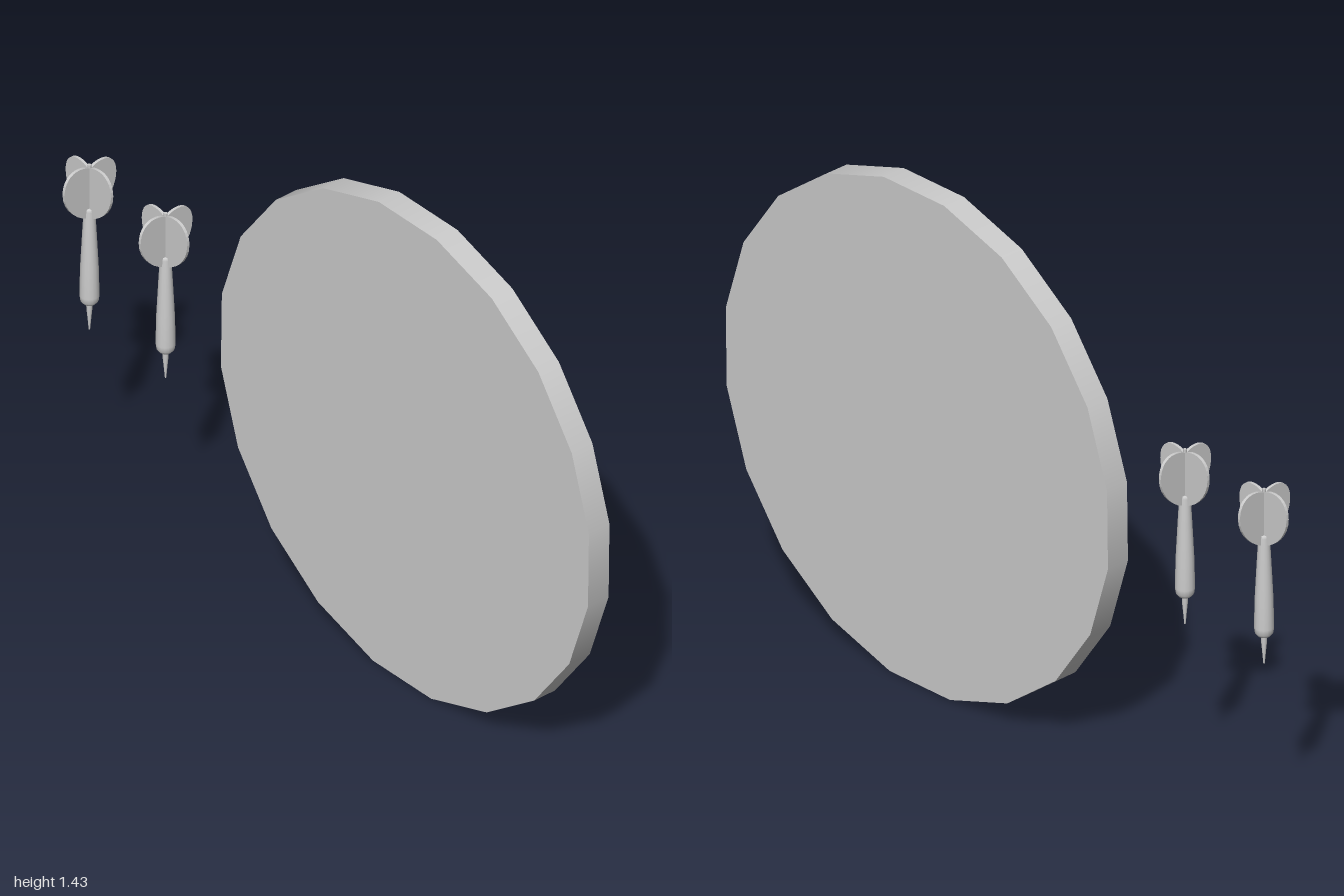
import * as THREE from 'three';

const material = new THREE.MeshStandardMaterial({ color: 0xcccccc });

function part(name, geometry) {
  const mesh = new THREE.Mesh(geometry, material);
  mesh.name = name;
  return mesh;
}

function lathe(points, sides) {
  return new THREE.LatheGeometry(points.map(([r, y]) => new THREE.Vector2(r, y)), sides);
}

// One rounded fin, its straight edge on the dart's axis
function flightGeometry() {
  const thickness = 0.008;
  const shape = new THREE.Shape();
  shape.moveTo(0, 0.84);
  shape.bezierCurveTo(0.035, 0.845, 0.088, 0.89, 0.088, 0.945);
  shape.bezierCurveTo(0.088, 0.985, 0.065, 1.002, 0.04, 1.002);
  shape.quadraticCurveTo(0.015, 1.002, 0, 0.99);
  shape.closePath();
  const geometry = new THREE.ExtrudeGeometry(shape, {
    depth: thickness, bevelEnabled: false, curveSegments: 8,
  });
  return geometry.translate(0, 0, -thickness / 2);
}

function createDart(name, x) {
  const dart = new THREE.Group();
  dart.name = name;
  dart.position.set(x, 0, 0.003);

  // Tapered barrel with a rounded lower end
  dart.add(part('barrel', lathe([
    [0, 0.577], [0.017, 0.578], [0.024, 0.587], [0.026, 0.603],
    [0.024, 0.69], [0.019, 0.79], [0.015, 0.862], [0.013, 0.87], [0, 0.87],
  ], 16)));

  // Metal point
  dart.add(part('point', lathe([
    [0, 0.495], [0.002, 0.496], [0.005, 0.53], [0.008, 0.56], [0.009, 0.585],
  ], 12)));

  // Slim shaft between the fins
  const shaft = part('shaft', new THREE.CylinderGeometry(0.005, 0.005, 0.14, 8));
  shaft.position.y = 0.932;
  dart.add(shaft);

  // Four fins in a cross
  const fin = flightGeometry();
  for (let i = 0; i < 4; i++) {
    const flight = part('flight' + (i + 1), fin);
    flight.rotation.y = i * Math.PI / 2;
    dart.add(flight);
  }
  return dart;
}

export function createModel() {
  const model = new THREE.Group();
  model.name = 'dartboardSet';

  // Twenty-sided board, turned slightly about its axis
  const disc = new THREE.CylinderGeometry(0.72, 0.72, 0.07, 20);
  disc.rotateX(Math.PI / 2).rotateZ(THREE.MathUtils.degToRad(8.1));
  const board = part('board', disc);
  board.position.set(0.285, 0.716, -0.055);
  model.add(board);

  model.add(createDart('outerDart', -0.911), createDart('innerDart', -0.616));
  return model;
}
